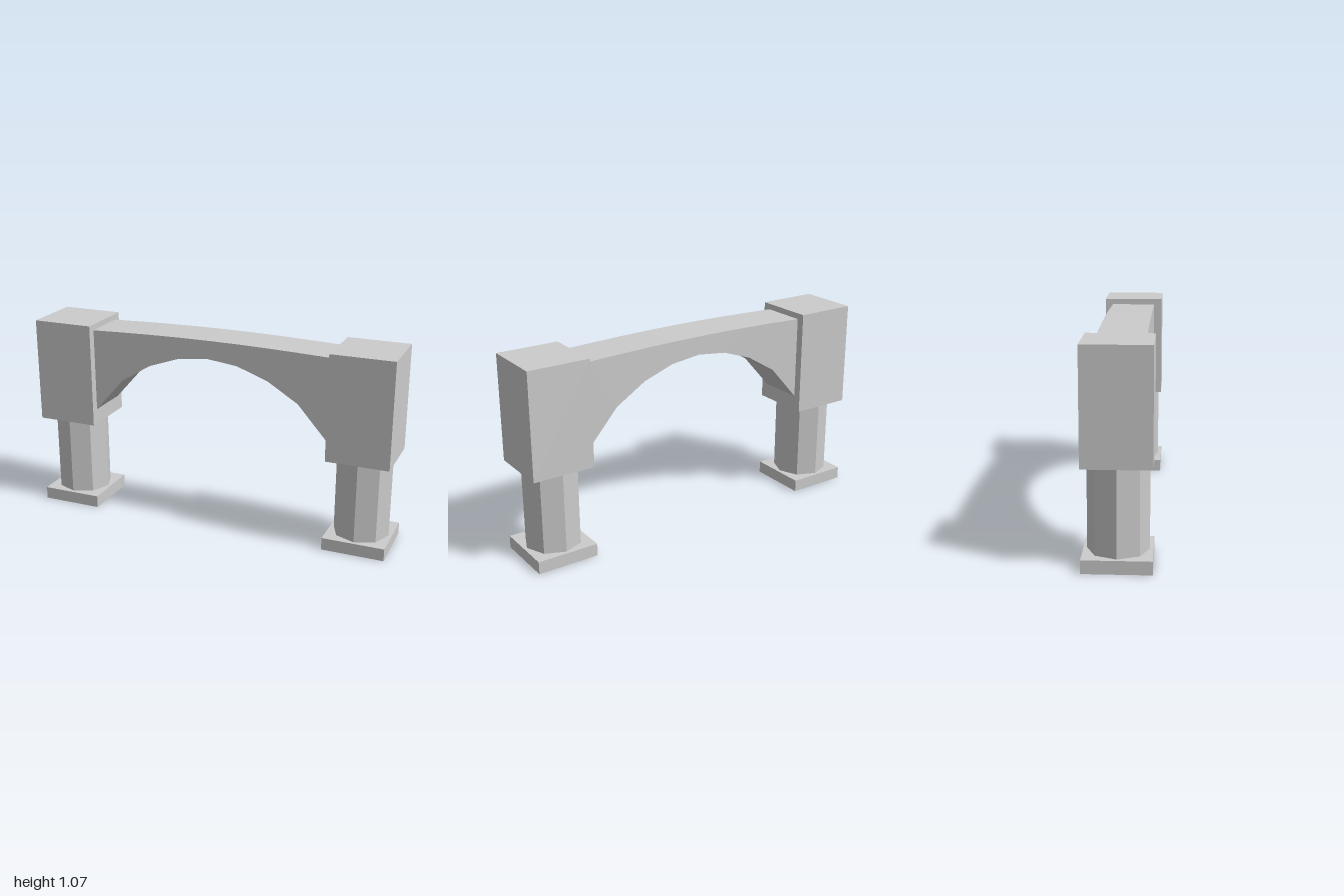
import * as THREE from 'three';

const material = new THREE.MeshStandardMaterial({ color: 0xcccccc, flatShading: true });

function addPart(parent, name, geometry, y = 0) {
  const mesh = new THREE.Mesh(geometry, material);
  mesh.name = name;
  mesh.position.y = y;
  parent.add(mesh);
}

// Square plinth, octagonal shaft and tall block
function createPillar(name, x) {
  const width = 1 / 3;
  const pillar = new THREE.Group();
  pillar.name = name;
  pillar.position.x = x;
  addPart(pillar, 'plinth', new THREE.BoxGeometry(width, 0.067, width), 0.0335);
  addPart(pillar, 'shaft', new THREE.CylinderGeometry(0.149, 0.149, 0.433, 8), 0.2835);
  addPart(pillar, 'block', new THREE.BoxGeometry(width, 0.567, width), 0.7835);
  return pillar;
}

// Shallow bowed top over a faceted arch, listed from the centre outwards
function createArchGeometry() {
  const step = 1 / 6, depth = 0.246;
  const top = [1.05, 1.049, 1.046, 1.041, 1.035];
  const under = [0.952, 0.932, 0.873, 0.771, 0.583];
  const points = [];
  for (let i = -4; i <= 4; i++) points.push(new THREE.Vector2(i * step, under[Math.abs(i)]));
  for (let i = 4; i >= -4; i--) points.push(new THREE.Vector2(i * step, top[Math.abs(i)]));
  const geometry = new THREE.ExtrudeGeometry(new THREE.Shape(points), { depth, bevelEnabled: false });
  return geometry.translate(0, 0, -depth / 2);
}

export function createModel() {
  const model = new THREE.Group();
  model.name = 'archway';
  model.add(createPillar('leftPillar', 5 / 6), createPillar('rightPillar', -5 / 6));
  addPart(model, 'archSpan', createArchGeometry());
  return model;
}
